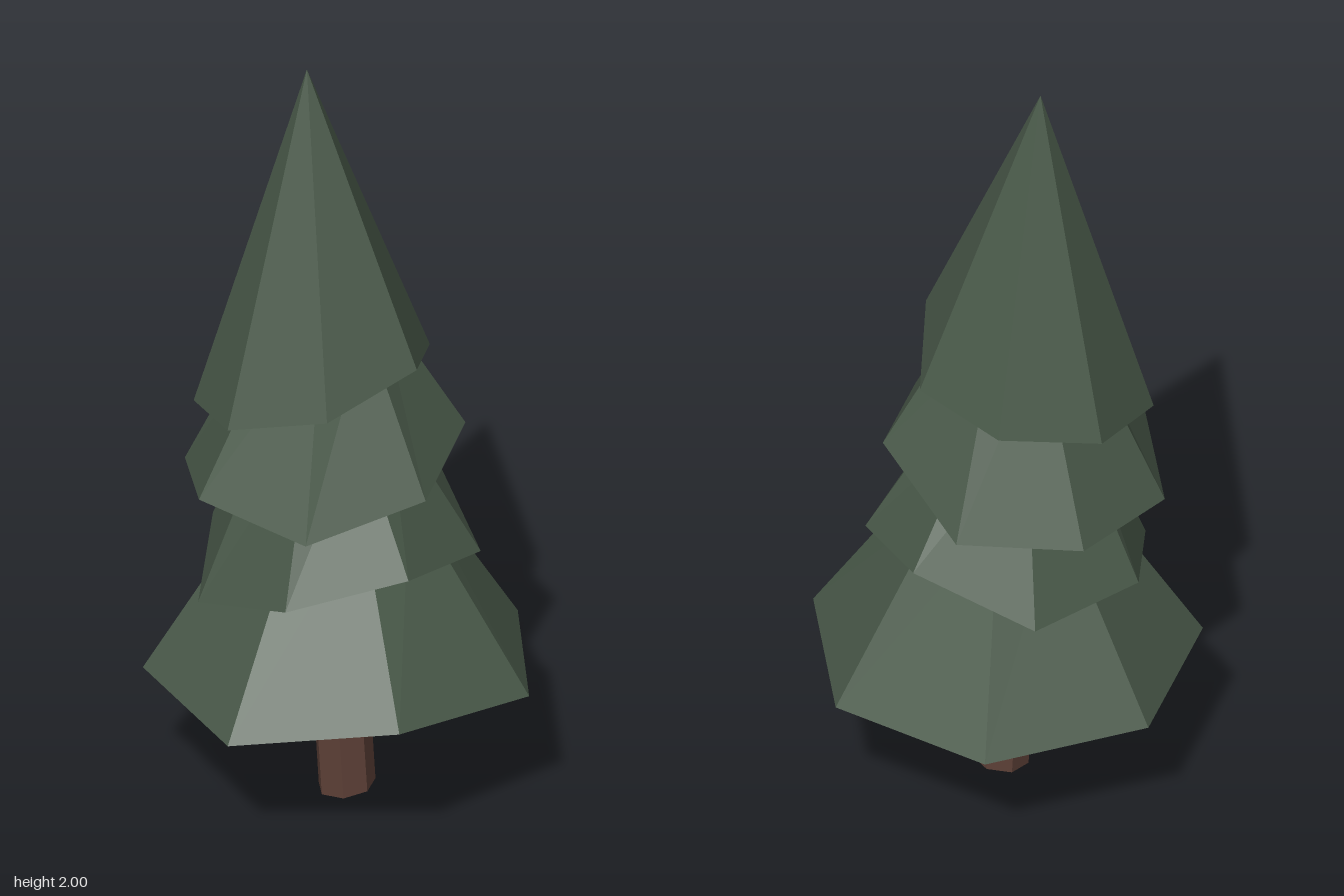
import * as THREE from 'three';

const needles = new THREE.MeshStandardMaterial({ color: 0x4a5a4a, flatShading: true });
needles.name = 'needle green';
const bark = new THREE.MeshStandardMaterial({ color: 0x5d4037, flatShading: true });
bark.name = 'bark brown';

// Branch tiers: uneven seven-cornered rim [x, y, z], narrowing to a smaller top ring or a tip
const TIERS = [
  {
    name: 'bottomBranches', top: [0, 0.85, 0], scale: 0.36,
    rim: [[0.03, 0.34, -0.46], [0.395, 0.35, -0.26], [0.465, 0.365, 0.15], [0.185, 0.43, 0.46],
      [-0.23, 0.355, 0.435], [-0.47, 0.35, 0.09], [-0.355, 0.345, -0.305]],
  },
  {
    name: 'lowerMiddleBranches', top: [-0.03, 1.08, 0.02], scale: 0.4,
    rim: [[-0.085, 0.64, -0.325], [0.21, 0.75, -0.25], [0.335, 0.685, 0.02], [0.19, 0.76, 0.295],
      [-0.1, 0.69, 0.355], [-0.33, 0.585, 0.16], [-0.325, 0.655, -0.14]],
  },
  {
    name: 'upperMiddleBranches', top: [-0.035, 1.35, 0.02], scale: 0.37,
    rim: [[-0.2, 0.865, -0.3], [0.105, 0.875, -0.3], [0.29, 0.995, -0.06], [0.225, 0.95, 0.235],
      [-0.05, 0.885, 0.365], [-0.32, 0.92, 0.235], [-0.385, 0.85, -0.065]],
  },
  {
    name: 'topBranches', top: [-0.085, 2, 0], scale: 0,
    rim: [[0.005, 1.16, -0.26], [0.2, 1.185, -0.1], [0.195, 1.265, 0.15], [-0.005, 1.197, 0.305],
      [-0.25, 1.125, 0.245], [-0.355, 1.065, 0.02], [-0.24, 1.12, -0.21]],
  },
];

// Sloping sides, closed underside and a small cap on top
function tierGeometry({ rim, top, scale }) {
  const n = rim.length;
  const middle = [0, 1, 2].map((k) => rim.reduce((sum, p) => sum + p[k], 0) / n);
  const ring = rim.map((p) => [
    top[0] + (p[0] - middle[0]) * scale, top[1], top[2] + (p[2] - middle[2]) * scale]);
  const points = [];
  for (let i = 0; i < n; i++) {
    const j = (i + 1) % n;
    points.push(rim[i], ring[i], rim[j]);
    points.push(middle, rim[i], rim[j]);
    if (scale > 0) {
      points.push(ring[i], ring[j], rim[j]);
      points.push(top, ring[j], ring[i]);
    }
  }
  const geometry = new THREE.BufferGeometry();
  geometry.setAttribute('position', new THREE.Float32BufferAttribute(points.flat(), 3));
  geometry.computeVertexNormals();
  return geometry;
}

export function createModel() {
  const tree = new THREE.Group();
  tree.name = 'pineTree';

  // Slightly leaning trunk, its foot cut at an angle
  const trunkGeometry = new THREE.CylinderGeometry(0.07, 0.07, 0.5, 7);
  const position = trunkGeometry.attributes.position;
  for (let i = 0; i < position.count; i++) {
    const x = position.getX(i);
    const foot = position.getY(i) < 0;
    position.setX(i, x + (foot ? 0.012 : -0.015));
    if (foot) position.setY(i, -0.24 + x * 0.14);
  }
  trunkGeometry.computeVertexNormals();
  const trunk = new THREE.Mesh(trunkGeometry, bark);
  trunk.name = 'trunk';
  trunk.position.set(0, 0.25, 0.018);
  tree.add(trunk);

  // Stacked branches
  for (const tier of TIERS) {
    const branches = new THREE.Mesh(tierGeometry(tier), needles);
    branches.name = tier.name;
    tree.add(branches);
  }
  return tree;
}
